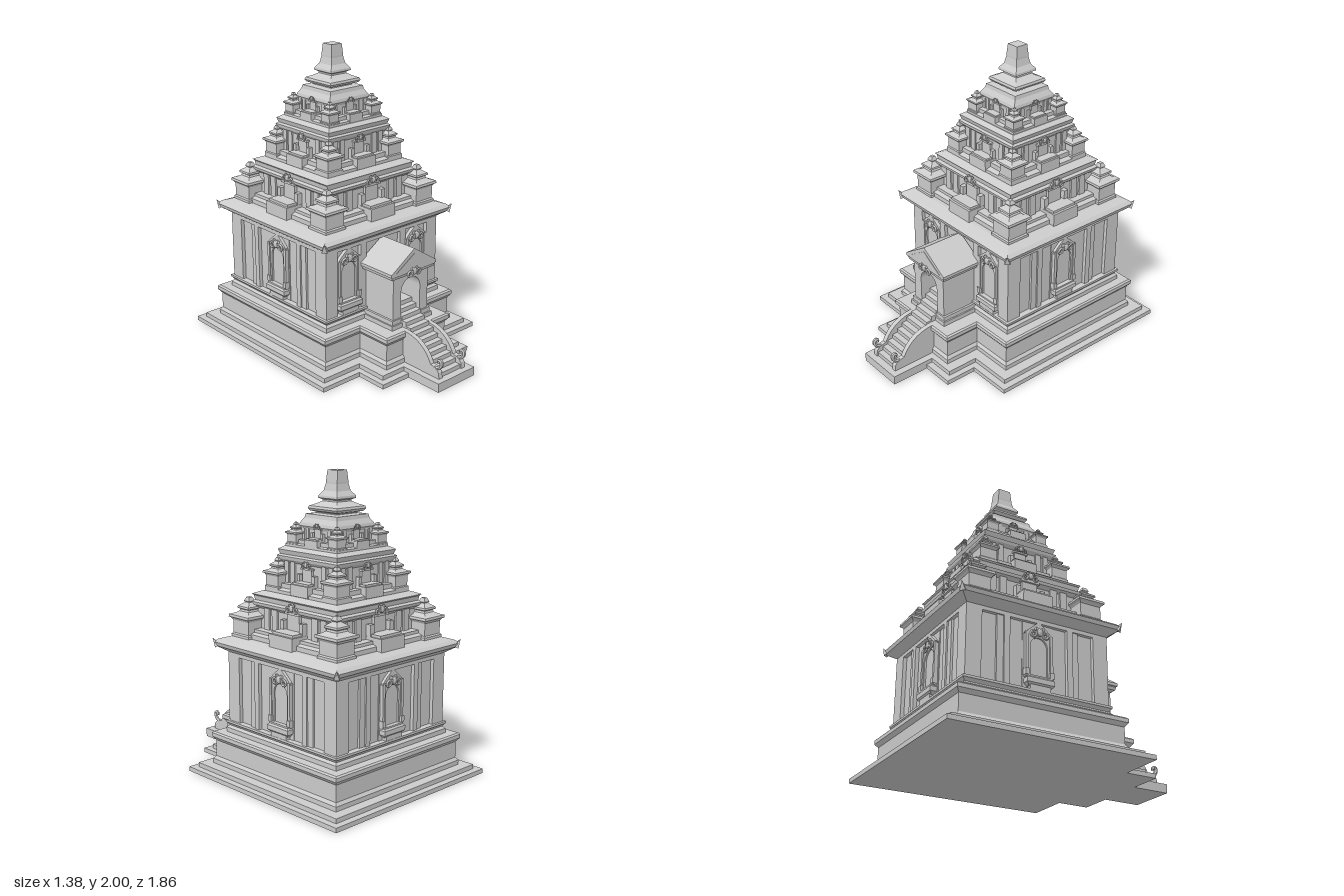
import * as THREE from 'three';

const CZ = -0.24; // centre of the tower in z
const mat = new THREE.MeshStandardMaterial({ color: 0xcccccc, flatShading: true, side: THREE.DoubleSide });

function add(parent, name, geo, x = 0, y = 0, z = 0) {
  const m = new THREE.Mesh(geo, mat);
  m.name = name;
  m.position.set(x, y, z);
  parent.add(m);
  return m;
}

// Box given by its limits
function block(parent, name, x0, x1, y0, y1, z0, z1) {
  return add(parent, name, new THREE.BoxGeometry(x1 - x0, y1 - y0, z1 - z0), (x0 + x1) / 2, (y0 + y1) / 2, (z0 + z1) / 2);
}

// Square moulding from [halfWidth, y] pairs, closed at both ends; dz lengthens it in z
function moulding(parent, name, profile, x = 0, z = 0, dz = 0, y = 0, s = 1) {
  const pts = profile.map(([r, h]) => new THREE.Vector2(r * s * Math.SQRT2, h * s));
  pts.unshift(new THREE.Vector2(0, pts[0].y));
  pts.push(new THREE.Vector2(0, pts[pts.length - 1].y));
  const geo = new THREE.LatheGeometry(pts, 4, Math.PI / 4);
  const p = geo.attributes.position;
  for (let i = 0; i < p.count; i++) p.setZ(i, p.getZ(i) + Math.sign(p.getZ(i)) * dz);
  return add(parent, name, geo, x, y, z);
}

function polygon(points) {
  return new THREE.Shape(points.map(([x, y]) => new THREE.Vector2(x, y)));
}

function extrude(shape, depth) {
  return new THREE.ExtrudeGeometry(shape, { depth, bevelEnabled: false, curveSegments: 10 });
}

// Round-headed outline
function arch(w, y0, ySpring) {
  const s = new THREE.Shape();
  s.moveTo(-w, y0);
  s.lineTo(w, y0);
  s.lineTo(w, ySpring);
  s.absarc(0, ySpring, w, 0, Math.PI, false);
  s.lineTo(-w, y0);
  return s;
}

// Scrolled crest ornament of half-width w
function crest(parent, x, y, z, w) {
  const g = new THREE.Group();
  g.name = 'crest';
  g.position.set(x, y, z);
  parent.add(g);
  const boss = add(g, 'crestBoss', new THREE.SphereGeometry(w * 0.4, 8, 6), 0, w * 0.1, 0);
  boss.scale.z = 0.5;
  for (const s of [-1, 1]) {
    add(g, 'crestScroll', new THREE.TorusGeometry(w * 0.25, w * 0.13, 5, 10), s * w * 0.6, -w * 0.1, 0);
    add(g, 'crestLeaf', new THREE.SphereGeometry(w * 0.2, 6, 5), s * w * 0.3, w * 0.38, 0);
  }
}

// Wall niche: sill, posts, arched frame and gable
function niche(parent, x) {
  const g = new THREE.Group();
  g.name = 'niche';
  g.position.set(x, 0, 0.47);
  parent.add(g);
  block(g, 'nicheFoot', -0.07, 0.07, 0.36, 0.39, 0, 0.04);
  moulding(g, 'nicheSill', [[0.075, 0.38], [0.095, 0.4], [0.095, 0.43], [0.085, 0.44], [0.085, 0.45]], 0, 0.01, -0.055);
  for (const s of [-1, 1]) {
    block(g, 'nichePost', s * 0.085 - 0.01, s * 0.085 + 0.01, 0.44, 0.73, 0, 0.03);
    block(g, 'sillEar', s * 0.085 - 0.014, s * 0.085 + 0.014, 0.45, 0.49, 0, 0.037);
  }
  const frame = polygon([[-0.078, 0.44], [0.078, 0.44], [0.078, 0.73], [-0.078, 0.73]]);
  frame.holes.push(arch(0.06, 0.45, 0.645));
  add(g, 'nicheFrame', extrude(frame, 0.022));
  add(g, 'nichePanel', extrude(arch(0.06, 0.45, 0.645), 0.01));
  add(g, 'nicheGable', extrude(polygon([[-0.1, 0.72], [0.1, 0.72], [0.06, 0.76], [0, 0.81], [-0.06, 0.76]]), 0.025));
  crest(g, 0, 0.73, 0.03, 0.07);
}

// Step outline: main square, porch and stair projections
function platform(w, front, porchW, porchZ, stairW, stairZ) {
  const right = [[w, 2 * CZ - front], [w, front], [porchW, front], [porchW, porchZ], [stairW, porchZ], [stairW, stairZ]];
  const left = right.map(([x, z]) => [-x, z]).reverse();
  const geo = extrude(polygon([...right, ...left].map(([x, z]) => [x, -z])), 0.03);
  return geo.rotateX(-Math.PI / 2);
}

const KIOSK = [[1, 0], [1, 0.2], [0.9, 0.3], [0.9, 1.3], [1, 1.45], [1.15, 1.55], [1.13, 1.75], [0.8, 1.85], [0.55, 2.0],
  [0.5, 2.15], [0.66, 2.25], [0.64, 2.4], [0.35, 2.6], [0.22, 2.7], [0.3, 2.8], [0.16, 3.1]];

// One storey of the spire: walls, corner kiosks and a shrine on each side
function tier(parent, { s, wall, c, kioskY, floor: y, wallTop, profile }) {
  const g = new THREE.Group();
  g.name = 'spireTier';
  g.position.z = CZ;
  parent.add(g);
  moulding(g, 'tierBody', profile);
  for (const sx of [-1, 1]) for (const sz of [-1, 1]) moulding(g, 'cornerKiosk', KIOSK, sx * c, sz * c, 0, kioskY, s);
  for (let i = 0; i < 4; i++) {
    const side = new THREE.Group();
    side.name = 'tierSide';
    side.rotation.y = i * Math.PI / 2;
    g.add(side);
    const out = c + 1.13 * s;
    block(side, 'shrineBase', -1.27 * s, 1.27 * s, y - 0.9 * s, y + 0.25 * s, wall - 0.02, out);
    block(side, 'shrineLedge', -1.15 * s, 1.15 * s, y + 0.25 * s, y + 0.45 * s, wall - 0.02, out - 0.2 * s);
    block(side, 'shrinePanel', -0.65 * s, 0.65 * s, y, y + 1.75 * s, wall - 0.02, wall + 0.25 * s);
    block(side, 'shrineLintel', -0.8 * s, 0.8 * s, y + 1.65 * s, y + 1.85 * s, wall - 0.02, wall + 0.4 * s);
    crest(side, 0, y + 2.1 * s, wall + 0.4 * s, 0.7 * s);
    for (const k of [-1, 1]) {
      block(side, 'shrinePost', (k * 1.05 - 0.2) * s, (k * 1.05 + 0.2) * s, y, y + 1.15 * s, wall - 0.02, wall + 0.45 * s);
      for (const d of [2.2, 3.1]) block(side, 'tierPilaster', (k * d - 0.3) * s, (k * d + 0.3) * s, y, wallTop, wall - 0.02, wall + 0.15 * s);
    }
  }
}

export function createModel() {
  const model = new THREE.Group();
  model.name = 'temple';

  // Ground steps and terrace
  add(model, 'lowerStep', platform(0.69, 0.45, 0.39, 0.67, 0.165, 0.93));
  add(model, 'upperStep', platform(0.645, 0.405, 0.35, 0.625, 0.165, 0.93), 0, 0.03);
  const terrace = (w) => [[w - 0.005, 0.06], [w - 0.005, 0.09], [w - 0.02, 0.11], [w - 0.02, 0.22], [w, 0.245], [w, 0.27], [w - 0.01, 0.28]];
  moulding(model, 'terrace', terrace(0.58), 0, CZ);
  moulding(model, 'porchTerrace', terrace(0.285), 0, 0.295, 0.01);

  // Stairs running up into the doorway
  for (let i = 0; i < 12; i++) block(model, 'stair', -0.085, 0.085, 0.06, 0.06 + 0.029 * (i + 1), 0.235, 0.88 - 0.04 * i);

  // Balustrades with a curled end
  const rail = new THREE.Shape();
  rail.moveTo(0.5, 0.06);
  rail.lineTo(0.89, 0.06);
  rail.lineTo(0.885, 0.1);
  rail.quadraticCurveTo(0.87, 0.13, 0.815, 0.135);
  rail.quadraticCurveTo(0.75, 0.27, 0.59, 0.28);
  rail.lineTo(0.5, 0.28);
  for (const s of [-1, 1]) {
    const m = add(model, 'balustrade', extrude(rail, 0.032), s * 0.103 + 0.016, 0, 0);
    m.rotation.y = -Math.PI / 2;
    const path = [[0.84, 0.12], [0.875, 0.13], [0.893, 0.155], [0.89, 0.178], [0.873, 0.18], [0.87, 0.162]];
    const curve = new THREE.CatmullRomCurve3(path.map(([z, y]) => new THREE.Vector3(s * 0.103, y, z)));
    add(model, 'railCurl', new THREE.TubeGeometry(curve, 16, 0.013, 6));
  }

  // Sanctuary walls
  moulding(model, 'wallBase', [[0.51, 0.28], [0.51, 0.31], [0.495, 0.325], [0.505, 0.34], [0.512, 0.345], [0.512, 0.36]], 0, CZ);
  moulding(model, 'wallCore', [[0.47, 0.36], [0.47, 0.81]], 0, CZ);
  for (let i = 0; i < 4; i++) {
    const side = new THREE.Group();
    side.name = 'wallSide';
    side.position.z = CZ;
    side.rotation.y = i * Math.PI / 2;
    model.add(side);
    for (const s of [-1, 1]) {
      const pier = (name, a, b, d) => block(side, name, Math.min(s * a, s * b), Math.max(s * a, s * b), 0.36, 0.81, 0.45, d);
      if (i === 0) {
        pier('cornerPier', 0.4, 0.495, 0.495);
        pier('innerPier', 0.15, 0.2, 0.495);
        niche(side, s * 0.3);
      } else {
        pier('cornerPier', 0.39, 0.495, 0.495);
        pier('outerPilaster', 0.24, 0.285, 0.485);
        pier('innerPilaster', 0.2, 0.24, 0.495);
      }
    }
    if (i > 0) {
      block(side, 'nicheBay', -0.106, 0.106, 0.36, 0.81, 0.45, 0.475);
      niche(side, 0);
    }
  }

  // Porch with arched passage and gabled roof
  const porch = new THREE.Shape();
  porch.moveTo(-0.155, 0.28);
  porch.lineTo(-0.085, 0.28);
  porch.lineTo(-0.085, 0.515);
  porch.absarc(0, 0.515, 0.085, Math.PI, 0, true);
  for (const [x, y] of [[0.085, 0.28], [0.155, 0.28], [0.155, 0.64], [-0.155, 0.64]]) porch.lineTo(x, y);
  add(model, 'porchWalls', extrude(porch, 0.29), 0, 0, 0.22);
  for (const s of [-1, 1]) {
    block(model, 'porchPlinth', s * 0.135 - 0.045, s * 0.135 + 0.045, 0.28, 0.31, 0.22, 0.53);
    block(model, 'porchPlinthCap', s * 0.13 - 0.04, s * 0.13 + 0.04, 0.31, 0.34, 0.22, 0.52);
  }
  moulding(model, 'porchCornice', [[0.16, 0.615], [0.185, 0.63], [0.19, 0.65], [0.18, 0.675]], 0, 0.37, -0.025);
  add(model, 'porchRoof', extrude(polygon([[-0.2, 0.655], [0.2, 0.655], [0.2, 0.675], [0, 0.805], [-0.2, 0.675]]), 0.3), 0, 0, 0.24);
  add(model, 'gableTrim', extrude(polygon([[-0.16, 0.675], [0.16, 0.675], [0, 0.775]]), 0.008), 0, 0, 0.535);
  crest(model, 0, 0.645, 0.54, 0.065);

  // Main eave with upturned corners
  moulding(model, 'eave', [[0.495, 0.8], [0.495, 0.825], [0.525, 0.845], [0.555, 0.865], [0.563, 0.89], [0.54, 0.91], [0.48, 0.93]], 0, CZ);
  for (const sx of [-1, 1]) for (const sz of [-1, 1]) {
    const horn = add(model, 'eaveHorn', new THREE.ConeGeometry(0.026, 0.06, 4), sx * 0.556, 0.89, CZ + sz * 0.556);
    horn.rotation.set(sz * 0.4, 0, -sx * 0.4);
  }

  // Three diminishing storeys
  tier(model, {
    s: 0.083, wall: 0.36, c: 0.396, kioskY: 0.93, floor: 0.99, wallTop: 1.13,
    profile: [[0.45, 0.91], [0.45, 0.96], [0.42, 0.97], [0.42, 0.99], [0.36, 0.99], [0.36, 1.12], [0.385, 1.14], [0.39, 1.16],
      [0.37, 1.17], [0.375, 1.2], [0.385, 1.21], [0.335, 1.23]]
  });
  tier(model, {
    s: 0.063, wall: 0.245, c: 0.262, kioskY: 1.25, floor: 1.29, wallTop: 1.43,
    profile: [[0.325, 1.21], [0.325, 1.25], [0.29, 1.26], [0.29, 1.29], [0.245, 1.29], [0.245, 1.42], [0.265, 1.44], [0.27, 1.46],
      [0.255, 1.47], [0.265, 1.5], [0.235, 1.52]]
  });
  tier(model, {
    s: 0.044, wall: 0.16, c: 0.182, kioskY: 1.535, floor: 1.565, wallTop: 1.64,
    profile: [[0.23, 1.5], [0.23, 1.535], [0.2, 1.54], [0.2, 1.565], [0.16, 1.565], [0.16, 1.63], [0.17, 1.65], [0.165, 1.67],
      [0.145, 1.7], [0.14, 1.725], [0.09, 1.73]]
  });

  // Crowning roof and finial
  moulding(model, 'crown', [[0.09, 1.72], [0.09, 1.735], [0.12, 1.745], [0.13, 1.76], [0.125, 1.775], [0.09, 1.79], [0.065, 1.805],
    [0.065, 1.815], [0.085, 1.825], [0.083, 1.84], [0.06, 1.87], [0.05, 1.915], [0.05, 1.925], [0.043, 2]], 0, CZ);
  return model;
}
